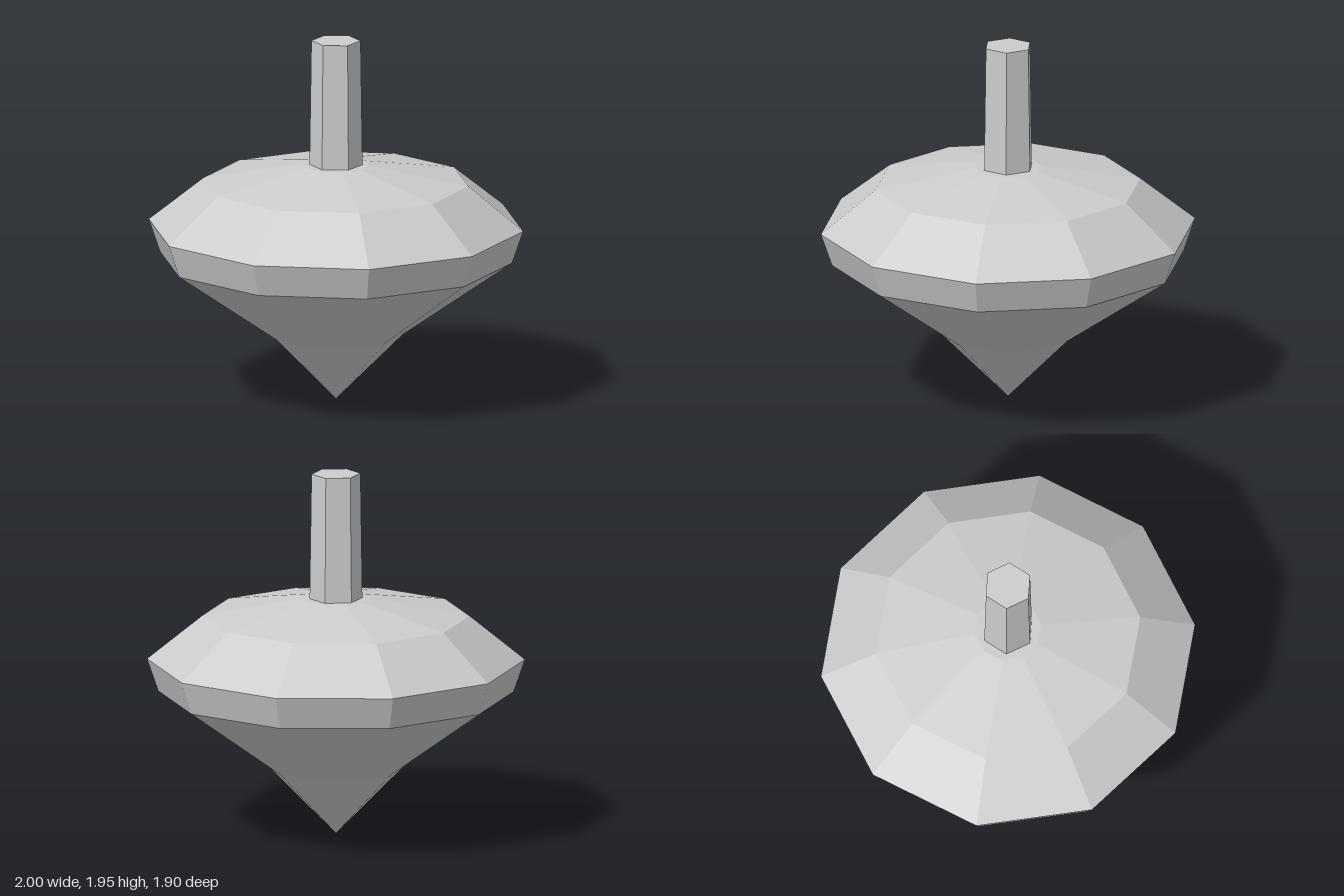
import * as THREE from 'three';

export function createModel() {
  const group = new THREE.Group();
  const grey = new THREE.MeshStandardMaterial({ color: 0xcccccc, flatShading: true });
  grey.name = 'plain grey';

  // Ten-sided spinning body, from the tip up to the collar
  const profile = [
    [0, 0], [0.355, 0.36], [0.94, 0.77], [1, 0.945],
    [0.707, 1.18], [0.178, 1.275], [0, 1.275],
  ].map(([r, y]) => new THREE.Vector2(r, y));
  const body = new THREE.Mesh(new THREE.LatheGeometry(profile, 10, Math.PI / 2), grey);
  body.name = 'body';
  group.add(body);

  // Slightly tapered six-sided stem
  const bottom = 1.27, top = 1.95;
  const stem = new THREE.Mesh(new THREE.CylinderGeometry(0.13, 0.14, top - bottom, 6), grey);
  stem.position.y = (top + bottom) / 2;
  stem.name = 'stem';
  group.add(stem);

  return group;
}
